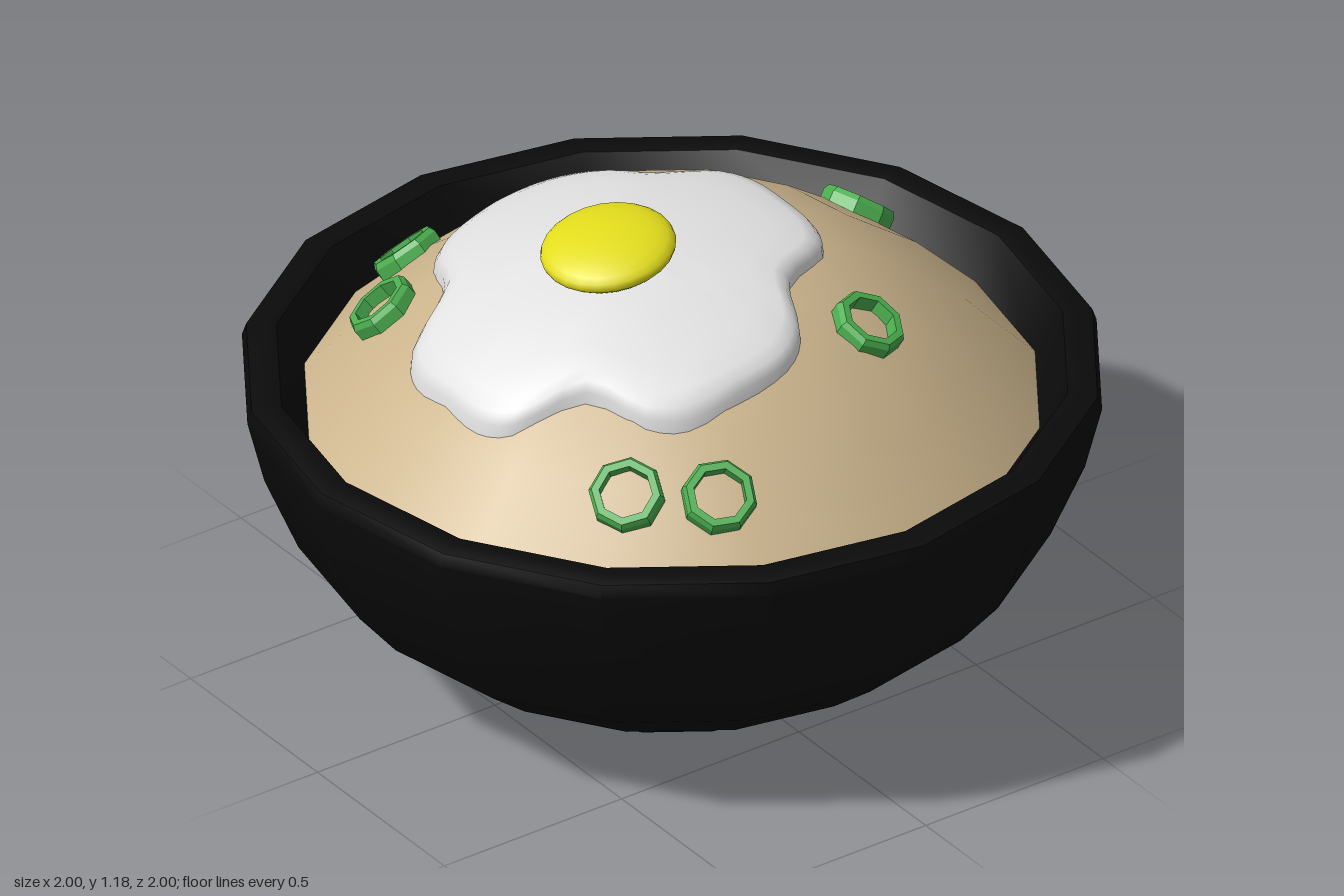
import * as THREE from 'three';
import { toCreasedNormals } from 'three/addons/utils/BufferGeometryUtils.js';

const mat = (name, color) => {
  const m = new THREE.MeshStandardMaterial({ color });
  m.name = name;
  return m;
};
const v2 = (pairs) => pairs.map(([x, y]) => new THREE.Vector2(x, y));

// Rice mound profile, from rim to crown (radius, height)
const RICE = [[0.855, 0.655], [0.69, 0.82], [0.5, 0.96], [0.34, 1.03], [0.17, 1.07], [0, 1.08]];

// Height of the rice surface at a given radius
function riceHeight(r) {
  for (let i = 0; i < RICE.length - 1; i++) {
    const [r0, y0] = RICE[i], [r1, y1] = RICE[i + 1];
    if (r >= r1) return y1 + ((y0 - y1) * (r - r1)) / (r0 - r1);
  }
  return 1.08;
}

// Four-lobed sheet draped over the rice, from concentric outline rings
function eggWhiteGeometry(cx) {
  const q = [[0.487, 0], [0.482, 0.12], [0.44, 0.2], [0.29, 0.28], [0.22, 0.42], [0.14, 0.48], [0, 0.495]];
  const rev = [...q].reverse();
  const outline = [[q, 1, 1], [rev, -1, 1], [q, -1, -1], [rev, 1, -1]].flatMap(([list, sx, sz]) =>
    list.slice(0, 6).map(([x, z]) => new THREE.Vector3(x * sx, 0, z * sz)));
  const N = 72;
  const edge = new THREE.CatmullRomCurve3(outline, true).getPoints(N).slice(0, N);
  // Scale of each ring and its height above the rice
  const rings = [[0.25, 0.035], [0.5, 0.037], [0.75, 0.04], [0.9, 0.042], [0.96, 0.037], [0.99, 0.02], [1, -0.025]];
  const pos = [cx, riceHeight(Math.abs(cx)) + 0.035, 0];
  const index = [];
  rings.forEach(([s, t], k) => {
    edge.forEach((p, i) => {
      const x = cx + p.x * s, z = p.z * s;
      pos.push(x, riceHeight(Math.hypot(x, z)) + t, z);
      const j = (i + 1) % N;
      const a = 1 + k * N + i, b = 1 + k * N + j;
      if (k === 0) index.push(0, b, a);
      else index.push(a - N, b - N, b, a - N, b, a);
    });
  });
  const geo = new THREE.BufferGeometry();
  geo.setAttribute('position', new THREE.Float32BufferAttribute(pos, 3));
  geo.setIndex(index);
  geo.computeVertexNormals();
  return geo;
}

export function createModel() {
  const group = new THREE.Group();
  const black = mat('bowlBlack', 0x0a0a0a);
  const tan = mat('riceTan', 0xcbb48c);
  const white = mat('eggWhite', 0xe0e0e0);
  const yellow = mat('yolkYellow', 0xe2dc1c);
  const green = mat('onionGreen', 0x4caf50);
  const add = (name, geo, material) => {
    const mesh = new THREE.Mesh(geo, material);
    mesh.name = name;
    group.add(mesh);
    return mesh;
  };

  // Bowl with foot, rounded rim and inner lip
  const bowl = new THREE.LatheGeometry(v2([
    [0, 0], [0.415, 0], [0.415, 0.04], [0.45, 0.045], [0.64, 0.14], [0.78, 0.25], [0.88, 0.37],
    [0.96, 0.56], [1, 0.72], [0.99, 0.75], [0.95, 0.76], [0.92, 0.755], [0.84, 0.63],
  ]), 16);
  add('bowl', toCreasedNormals(bowl, 0.6), black);

  // Rice mound
  add('rice', new THREE.LatheGeometry(v2(RICE), 16), tan);

  // Fried egg
  add('eggWhite', eggWhiteGeometry(-0.155), white);
  const yolk = add('yolk', new THREE.SphereGeometry(0.158, 24, 14), yellow);
  yolk.scale.y = 0.31;
  yolk.position.set(-0.18, 1.12, 0);
  yolk.rotation.z = 0.17;

  // Spring onion rings lying on the slope
  const ring = new THREE.LatheGeometry(v2([
    [0.088, -0.025], [0.088, 0.012], [0.08, 0.025], [0.062, 0.025], [0.062, -0.025], [0.088, -0.025],
  ]), 8).toNonIndexed();
  ring.computeVertexNormals();
  const up = new THREE.Vector3(0, 1, 0);
  [[-0.27, -0.66], [-0.49, -0.45], [0.67, -0.21], [0.25, 0.42], [-0.485, 0.5], [-0.315, 0.625]].forEach(([x, z], i) => {
    const r = Math.hypot(x, z);
    const slope = (riceHeight(r - 0.1) - riceHeight(r + 0.1)) / 0.2;
    const normal = new THREE.Vector3((x / r) * slope, 1, (z / r) * slope).normalize();
    const mesh = add('onionRing' + (i + 1), ring, green);
    mesh.position.set(x, riceHeight(r), z).addScaledVector(normal, 0.005);
    mesh.quaternion.setFromUnitVectors(up, normal);
  });

  return group;
}
